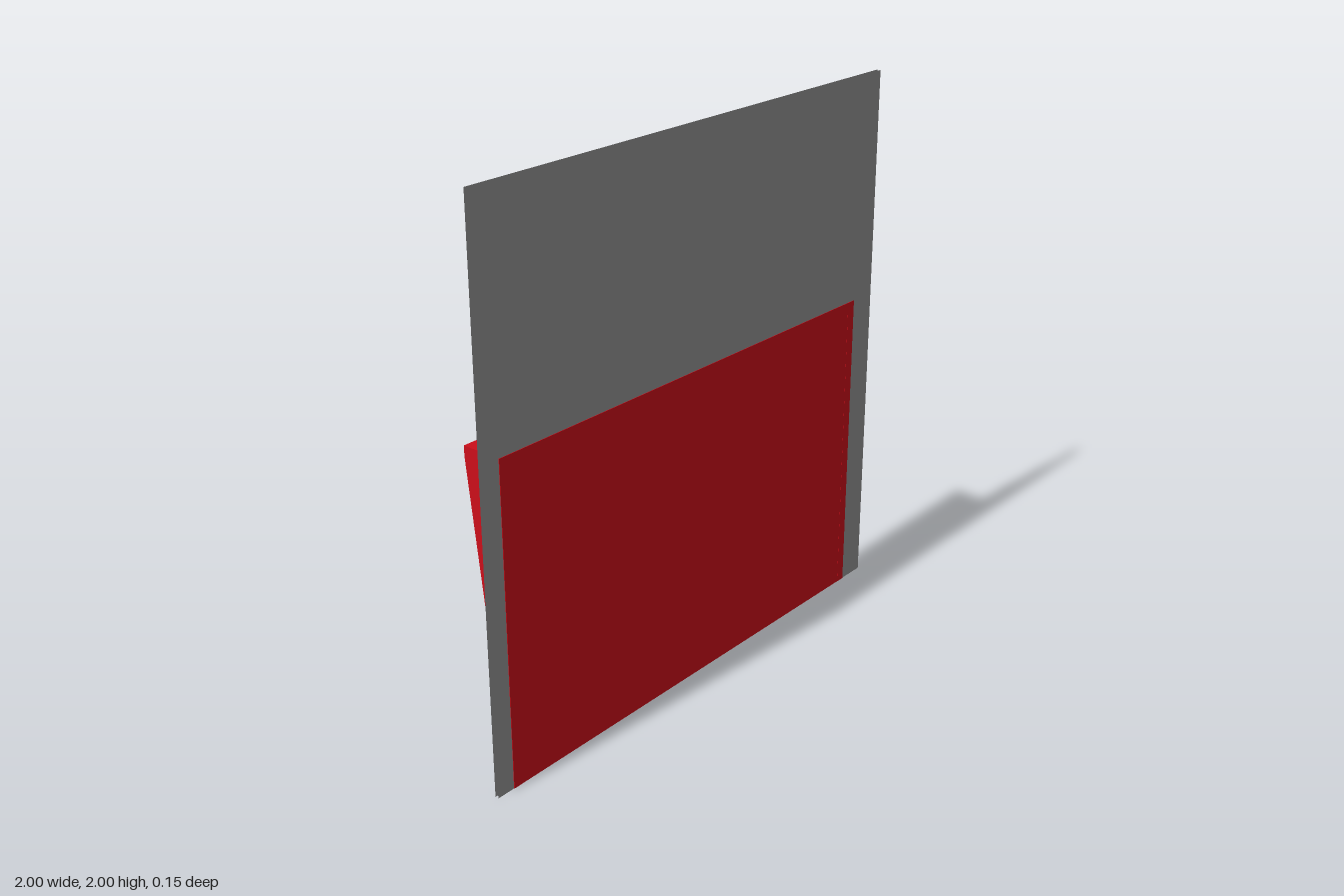
import * as THREE from 'three';

export function createModel() {
  const model = new THREE.Group();
  const grey = new THREE.MeshStandardMaterial({ color: 0x929292, side: THREE.DoubleSide });
  const red = new THREE.MeshStandardMaterial({ color: 0xcc0e1a });

  const add = (name, geometry, material, x, y, z) => {
    const mesh = new THREE.Mesh(geometry, material);
    mesh.name = name;
    mesh.position.set(x, y, z);
    model.add(mesh);
    return mesh;
  };

  // Backing sheet: two parallel skins, open around the rim
  const front = 0.075, back = -0.075, foot = 0.056;
  add('sheetFront', new THREE.PlaneGeometry(2, 2), grey, 0, 1, front - 0.002);
  add('sheetBack', new THREE.PlaneGeometry(2, 2), grey, 0, 1, 0.06).rotation.y = Math.PI;

  // Hood: outer limits and bar thickness
  const x0 = -0.93, x1 = 0.89, top = 1.165, bar = 0.036;
  const width = x1 - x0, midX = (x0 + x1) / 2, inner = top - bar;

  // Inset panel filling the hood
  add('insetPanel', new THREE.BoxGeometry(width - 2 * bar, inner, 0.0195), red,
    midX, inner / 2, front - 0.0005 - 0.0195 / 2);

  // Top bar
  add('topBar', new THREE.BoxGeometry(width - 2 * bar, bar, front - back), red,
    midX, top - bar / 2, 0);

  // Tapered side cheeks: profile drawn in (-z, y), extruded along x
  const profile = new THREE.Shape([
    [-front, 0], [-foot, 0], [-back, inner], [-back, top], [-front, top],
  ].map(([u, v]) => new THREE.Vector2(u, v)));
  const cheek = new THREE.ExtrudeGeometry(profile, { depth: bar, bevelEnabled: false });
  cheek.rotateY(Math.PI / 2);
  add('rightCheek', cheek, red, x0, 0, 0);
  add('leftCheek', cheek, red, x1 - bar, 0, 0);

  return model;
}
